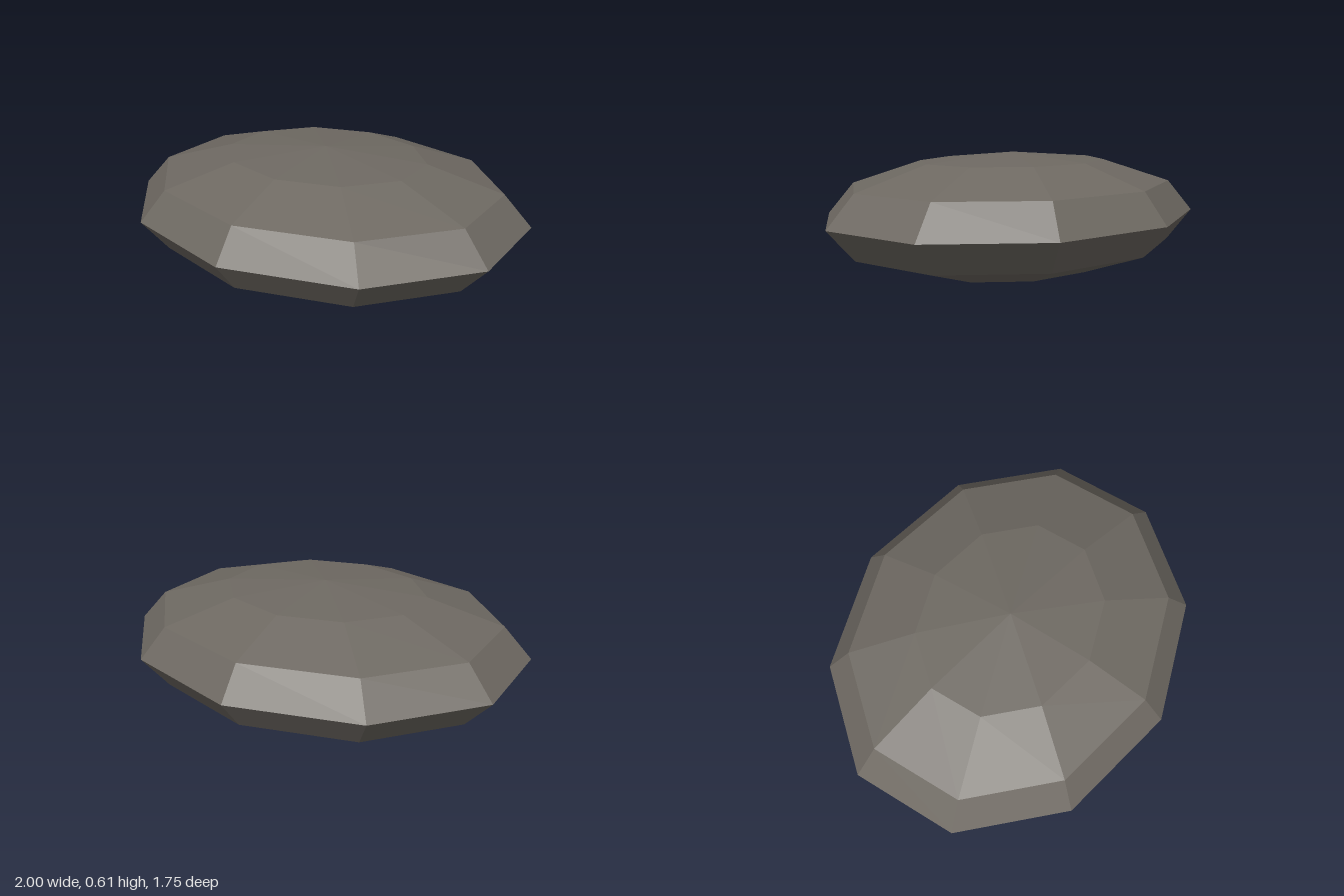
import * as THREE from 'three';

export function createModel() {
  const group = new THREE.Group();
  group.name = 'flatStone';

  const stoneGrey = new THREE.MeshStandardMaterial({ color: 0x6e6962, flatShading: true });
  stoneGrey.name = 'stoneGrey';

  // Ten-sided, six-ring sphere squashed into a flat pebble, one corner facing front
  const halfHeight = 0.307;
  const geometry = new THREE.SphereGeometry(1, 10, 6, Math.PI / 2);
  geometry.scale(1 / Math.cos(Math.PI / 10), halfHeight, 0.873);
  geometry.translate(0, halfHeight, 0);

  const stone = new THREE.Mesh(geometry, stoneGrey);
  stone.name = 'stone';
  group.add(stone);
  return group;
}
